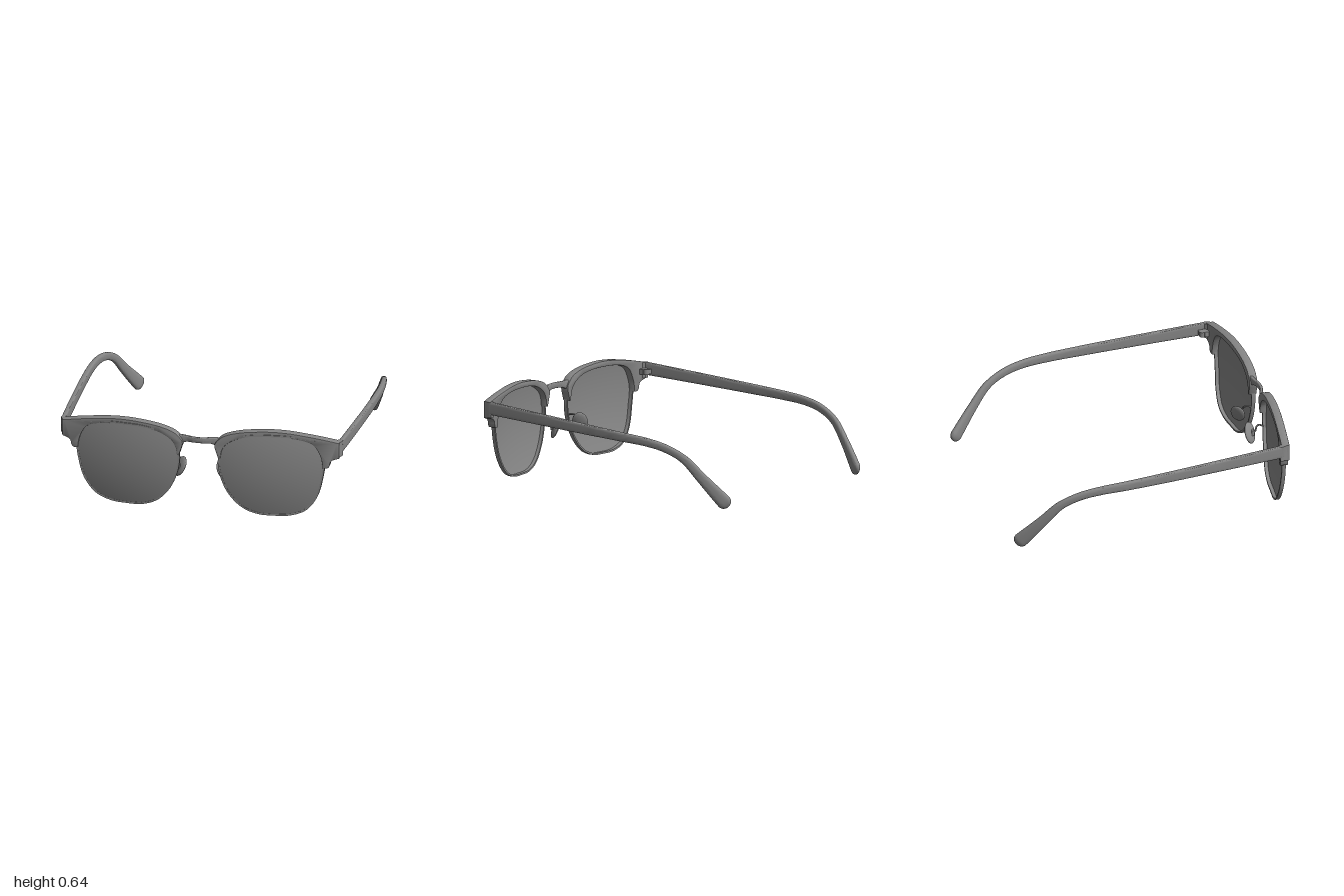
import * as THREE from 'three';
import { toCreasedNormals } from 'three/addons/utils/BufferGeometryUtils.js';

const V = (x, y, z) => new THREE.Vector3(x, y, z);
const V2 = ([x, y]) => new THREE.Vector2(x, y);

// Wrap of the front: z of the brow's face, and of the domed lens
const browZ = (x) => 0.965 - 0.07 * Math.pow(Math.max(0, (x - 0.12) / 0.81), 1.4);
const lensZ = (x, y) => browZ(x) + 0.018 - 0.25 * (x - 0.48) ** 2 - 0.36 * (y - 0.4) ** 2;

// Skin a list of equal rings; closed joins the last ring to the first
function loft(rings, closed = false) {
  const n = rings[0].length, m = rings.length, index = [];
  for (let i = 0; i < (closed ? m : m - 1); i++)
    for (let j = 0; j < n; j++) {
      const k = (j + 1) % n, r = ((i + 1) % m) * n;
      index.push(i * n + j, i * n + k, r + j, i * n + k, r + k, r + j);
    }
  const geo = new THREE.BufferGeometry().setFromPoints(rings.flat());
  geo.setIndex(index);
  return geo;
}

// Bar swept along rows of [x, y, z, height, width, roundness]
function bar(rows, steps, roundTip = 0) {
  const path = new THREE.CatmullRomCurve3(rows.map((r) => V(r[0], r[1], r[2])));
  const size = new THREE.CatmullRomCurve3(rows.map((r) => V(r[3], r[4], r[5])));
  const pow = (c, e) => Math.sign(c) * Math.pow(Math.abs(c), e);
  const rings = [];
  const ring = (t, scale) => {
    const p = path.getPoint(t), s = size.getPoint(t), T = path.getTangent(t);
    const side = T.clone().cross(V(0, 1, 0)).normalize();
    const up = side.clone().cross(T);
    rings.push(Array.from({ length: 24 }, (_, j) => {
      const a = ((j + 0.5) / 24) * Math.PI * 2;
      return p.clone()
        .addScaledVector(up, pow(Math.cos(a), s.z) * s.x * 0.5 * scale)
        .addScaledVector(side, pow(Math.sin(a), s.z) * s.y * 0.5 * scale);
    }));
  };
  ring(0, 0);
  for (let i = 0; i <= steps; i++) {
    const u = Math.sin((i / steps) * Math.PI / 2); // denser towards the tip
    const t = roundTip ? u : i / steps;
    const over = roundTip ? Math.max(0, (t - 1 + roundTip) / roundTip) : 0;
    ring(t, Math.sqrt(Math.max(0, 1 - over * over)));
  }
  ring(1, 0);
  return loft(rings);
}

// Lens outline, counter-clockwise from the front; its top is tucked into the brow
const outline = new THREE.CatmullRomCurve3([
  [0.5, 0.607], [0.37, 0.602], [0.24, 0.57], [0.155, 0.5], [0.136, 0.4], [0.148, 0.3], [0.2, 0.17],
  [0.29, 0.068], [0.39, 0.025], [0.5, 0.018], [0.61, 0.024], [0.71, 0.065], [0.785, 0.165],
  [0.823, 0.3], [0.836, 0.41], [0.81, 0.525], [0.735, 0.582], [0.63, 0.602],
].map(([x, y]) => V(x, y, 0)), true);

function lens() {
  const edge = outline.getPoints(96).slice(0, 96), rings = [];
  for (let i = 0; i <= 12; i++)
    rings.push(edge.map((e) => {
      const p = V(0.49, 0.32, 0).lerp(e, 1 - i / 12);
      return p.setZ(lensZ(p.x, p.y));
    }));
  return loft(rings);
}

function rim() {
  const rings = [];
  for (let i = 0; i < 96; i++) {
    const p = outline.getPoint(i / 96), T = outline.getTangent(i / 96);
    const out = V(T.y, -T.x, 0), z = lensZ(p.x, p.y) - 0.01;
    rings.push([[1, 1], [-1, 1], [-1, -1], [1, -1]].map(([a, b]) =>
      p.clone().setZ(z - b * 0.013).addScaledVector(out, a * 0.006)));
  }
  return loft(rings, true);
}

function brow() {
  const s = new THREE.Shape();
  s.moveTo(0.134, 0.418);
  s.splineThru([[0.122, 0.455], [0.108, 0.51], [0.13, 0.55], [0.18, 0.588], [0.28, 0.617], [0.4, 0.631],
    [0.5, 0.635], [0.6, 0.63], [0.7, 0.617], [0.82, 0.597], [0.942, 0.572]].map(V2));
  s.lineTo(0.94, 0.46);
  s.splineThru([[0.9, 0.447], [0.883, 0.43], [0.875, 0.4], [0.86, 0.386], [0.832, 0.385]].map(V2));
  s.splineThru([[0.82, 0.46], [0.78, 0.54], [0.72, 0.574], [0.62, 0.592], [0.5, 0.597], [0.385, 0.593],
    [0.28, 0.575], [0.2, 0.535], [0.16, 0.485], [0.147, 0.42]].map(V2));
  s.closePath();
  const geo = new THREE.ExtrudeGeometry(s, { depth: 0.047, curveSegments: 5, bevelThickness: 0.004,
    bevelSize: 0.004, bevelOffset: -0.004, bevelSegments: 2 }).translate(0, 0, -0.051);
  const p = geo.attributes.position;
  for (let i = 0; i < p.count; i++) p.setZ(i, p.getZ(i) + browZ(p.getX(i)));
  return geo;
}

// Corner block that turns the brow into the temple
function endPiece() {
  const s = new THREE.Shape([[0.91, -0.895], [0.934, -0.893], [0.957, -0.842], [0.955, -0.828],
    [0.925, -0.828], [0.91, -0.845]].map(V2));
  return new THREE.ExtrudeGeometry(s, { depth: 0.106, bevelEnabled: false })
    .rotateX(-Math.PI / 2).translate(0, 0.466, 0);
}

function nosePad() {
  const long = V(0.45, -0.88, 0.05).normalize();
  const face = V(-0.72, -0.28, -0.63);
  face.addScaledVector(long, -face.dot(long)).normalize();
  const across = face.clone().cross(long);
  return new THREE.SphereGeometry(1, 28, 18).scale(0.017, 0.073, 0.052)
    .applyMatrix4(new THREE.Matrix4().makeBasis(face, long, across)).translate(0.148, 0.284, 0.84);
}

const tube = (pts, r) => new THREE.TubeGeometry(
  new THREE.CatmullRomCurve3(pts.map((p) => V(...p))), 24, r, 8);
const box = (w, h, d, x, y, z) => new THREE.BoxGeometry(w, h, d).translate(x, y, z);

// Mirror across x, swapping two corners of each triangle to keep it facing outward
function mirrored(geo) {
  const g = geo.clone().scale(-1, 1, 1);
  for (const a of [g.attributes.position, g.attributes.normal])
    for (let i = 0; i < a.count; i += 3)
      for (let k = 0; k < 3; k++) {
        const t = a.getComponent(i + 1, k);
        a.setComponent(i + 1, k, a.getComponent(i + 2, k));
        a.setComponent(i + 2, k, t);
      }
  return g;
}

export function createModel() {
  const group = new THREE.Group();
  const solid = new THREE.MeshStandardMaterial({ color: 0x868686 });
  const thin = new THREE.MeshStandardMaterial({ color: 0x868686, side: THREE.DoubleSide });
  const add = (name, geo, mat = solid) => {
    const mesh = new THREE.Mesh(geo, mat);
    mesh.name = name;
    group.add(mesh);
  };
  const pair = (name, geo, mat) => {
    geo.deleteAttribute('uv');
    const g = toCreasedNormals(geo, 0.6);
    add('left' + name, g, mat);
    add('right' + name, mirrored(g), mat);
  };

  // Front
  pair('Lens', lens(), thin);
  pair('Rim', rim());
  pair('Brow', brow());
  pair('EndPiece', endPiece());
  const halfBridge = [[0.04, 0.537, 0.949, 0.04, 0.021, 0.5], [0.08, 0.536, 0.938, 0.043, 0.022, 0.5],
    [0.108, 0.532, 0.933, 0.054, 0.026, 0.5], [0.135, 0.525, 0.93, 0.064, 0.028, 0.5]];
  add('bridge', toCreasedNormals(bar([
    ...halfBridge.map(([x, ...rest]) => [-x, ...rest]).reverse(),
    [0, 0.537, 0.953, 0.039, 0.021, 0.5], ...halfBridge], 40), 0.6));

  // Nose pads on bent wires
  pair('NosePad', nosePad());
  pair('PadArm', tube([[0.15, 0.32, 0.935], [0.14, 0.33, 0.905], [0.152, 0.325, 0.885],
    [0.165, 0.3, 0.872], [0.152, 0.288, 0.845]], 0.006));
  pair('PadMount', box(0.03, 0.035, 0.016, 0.157, 0.288, 0.857));

  // Hinges behind the corners
  pair('HingeLeaf', box(0.055, 0.036, 0.03, 0.905, 0.515, 0.83));
  pair('HingeBarrel', new THREE.CylinderGeometry(0.02, 0.02, 0.036, 20).translate(0.895, 0.515, 0.803));
  pair('HingePlate', box(0.04, 0.03, 0.042, 0.92, 0.515, 0.803));

  // Temples, curving in and down to a broad rounded tip
  pair('Temple', bar([
    [0.941, 0.531, 0.845, 0.085, 0.03, 0.3], [0.96, 0.499, 0.45, 0.076, 0.034, 0.35],
    [0.976, 0.462, 0, 0.066, 0.037, 0.4], [0.978, 0.441, -0.25, 0.06, 0.037, 0.5],
    [0.967, 0.424, -0.41, 0.056, 0.037, 0.6], [0.945, 0.391, -0.55, 0.054, 0.037, 0.7],
    [0.912, 0.323, -0.68, 0.057, 0.037, 0.75], [0.87, 0.204, -0.788, 0.07, 0.04, 0.75],
    [0.825, 0.1, -0.876, 0.088, 0.044, 0.75], [0.784, 0.012, -0.95, 0.102, 0.046, 0.75]], 72, 0.045));
  return group;
}
